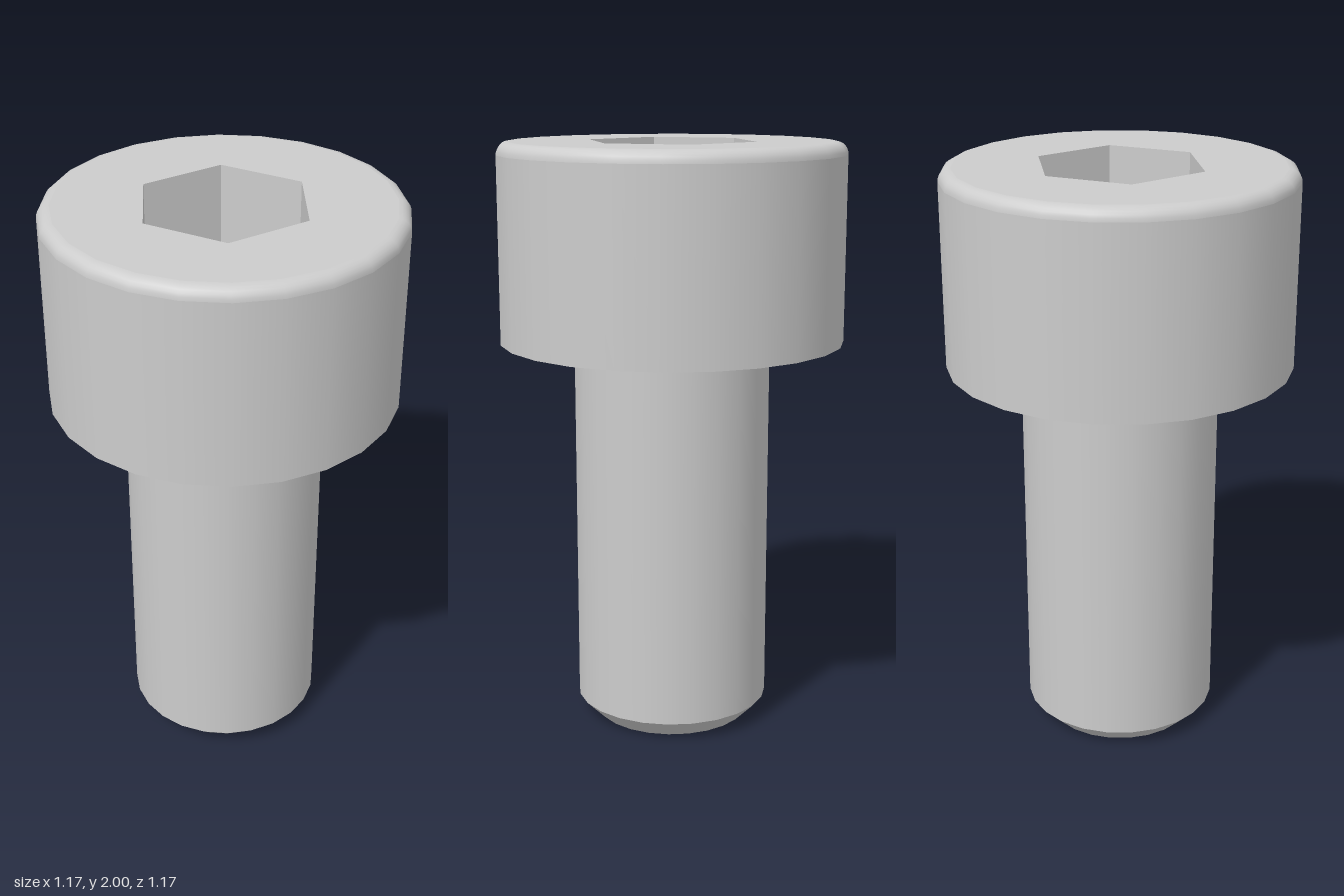
import * as THREE from 'three';

const SIDES = 24;
const HEAD_R = 0.583, FILLET = 0.042, SHANK_R = 0.333;
const HEAD_Y = 1.335, TOP = 2, CHAMFER = 0.067;
const HEX_R = 0.29, FLOOR_Y = 1.667, SLOPE = Math.tan(Math.PI / 6);

export function createModel() {
  const steel = new THREE.MeshStandardMaterial({ color: 0xcccccc });
  steel.name = 'steel';
  const model = new THREE.Group();
  model.name = 'socketHeadScrew';

  const add = (name, geometry) => {
    const mesh = new THREE.Mesh(geometry, steel);
    mesh.name = name;
    model.add(mesh);
  };
  // Each turned band is its own lathe, so edges between bands stay sharp
  const turned = (name, points) => add(name,
    new THREE.LatheGeometry(points.map(([r, y]) => new THREE.Vector2(r, y)), SIDES));

  // Shank with chamfered tip
  turned('tipFace', [[0, 0], [SHANK_R - CHAMFER, 0]]);
  turned('tipChamfer', [[SHANK_R - CHAMFER, 0], [SHANK_R, CHAMFER]]);
  turned('shank', [[SHANK_R, CHAMFER], [SHANK_R, HEAD_Y]]);

  // Head underside, side wall and rounded rim
  turned('headUnderside', [[SHANK_R, HEAD_Y], [HEAD_R, HEAD_Y]]);
  turned('headSide', [[HEAD_R, HEAD_Y], [HEAD_R, TOP - FILLET]]);
  const rim = [];
  for (let i = 0; i <= 6; i++) {
    const a = (i / 6) * Math.PI / 2;
    rim.push([HEAD_R - FILLET + FILLET * Math.cos(a), TOP - FILLET + FILLET * Math.sin(a)]);
  }
  turned('headRim', rim);

  // Flat top with a hexagonal opening
  const polygon = (radius, sides) => Array.from({ length: sides }, (_, i) => {
    const a = Math.PI / 2 + (i / sides) * Math.PI * 2;
    return new THREE.Vector2(radius * Math.cos(a), radius * Math.sin(a));
  });
  const face = new THREE.Shape(polygon(HEAD_R - FILLET, SIDES));
  face.holes.push(new THREE.Path(polygon(HEX_R, 6)));
  add('headTop', new THREE.ShapeGeometry(face).rotateX(-Math.PI / 2).translate(0, TOP, 0));

  // Socket outline: each hex side cut into short steps, following the conical floor
  const STEPS = 6;
  const corners = polygon(HEX_R, 6);
  const floorY = (r) => FLOOR_Y - (HEX_R - r) * SLOPE;
  const walls = [], floor = [], floorNormals = [];
  const coneNormal = (x, z) => {
    const r = Math.hypot(x, z);
    return new THREE.Vector3(-x / r * SLOPE, 1, -z / r * SLOPE).normalize().toArray();
  };
  for (let s = 0; s < 6; s++) {
    for (let k = 0; k < STEPS; k++) {
      const [a, b] = [k, k + 1].map((n) => {
        const p = corners[s].clone().lerp(corners[(s + 1) % 6], n / STEPS);
        return [p.x, floorY(p.length()), -p.y];
      });
      const aTop = [a[0], TOP, a[2]], bTop = [b[0], TOP, b[2]];
      walls.push(...a, ...aTop, ...b, ...b, ...aTop, ...bTop);
      floor.push(0, floorY(0), 0, ...a, ...b);
      floorNormals.push(...coneNormal((a[0] + b[0]) / 2, (a[2] + b[2]) / 2),
        ...coneNormal(a[0], a[2]), ...coneNormal(b[0], b[2]));
    }
  }
  const wallGeometry = new THREE.BufferGeometry();
  wallGeometry.setAttribute('position', new THREE.Float32BufferAttribute(walls, 3));
  wallGeometry.computeVertexNormals();
  add('socketWalls', wallGeometry);

  const floorGeometry = new THREE.BufferGeometry();
  floorGeometry.setAttribute('position', new THREE.Float32BufferAttribute(floor, 3));
  floorGeometry.setAttribute('normal', new THREE.Float32BufferAttribute(floorNormals, 3));
  add('socketFloor', floorGeometry);

  return model;
}
